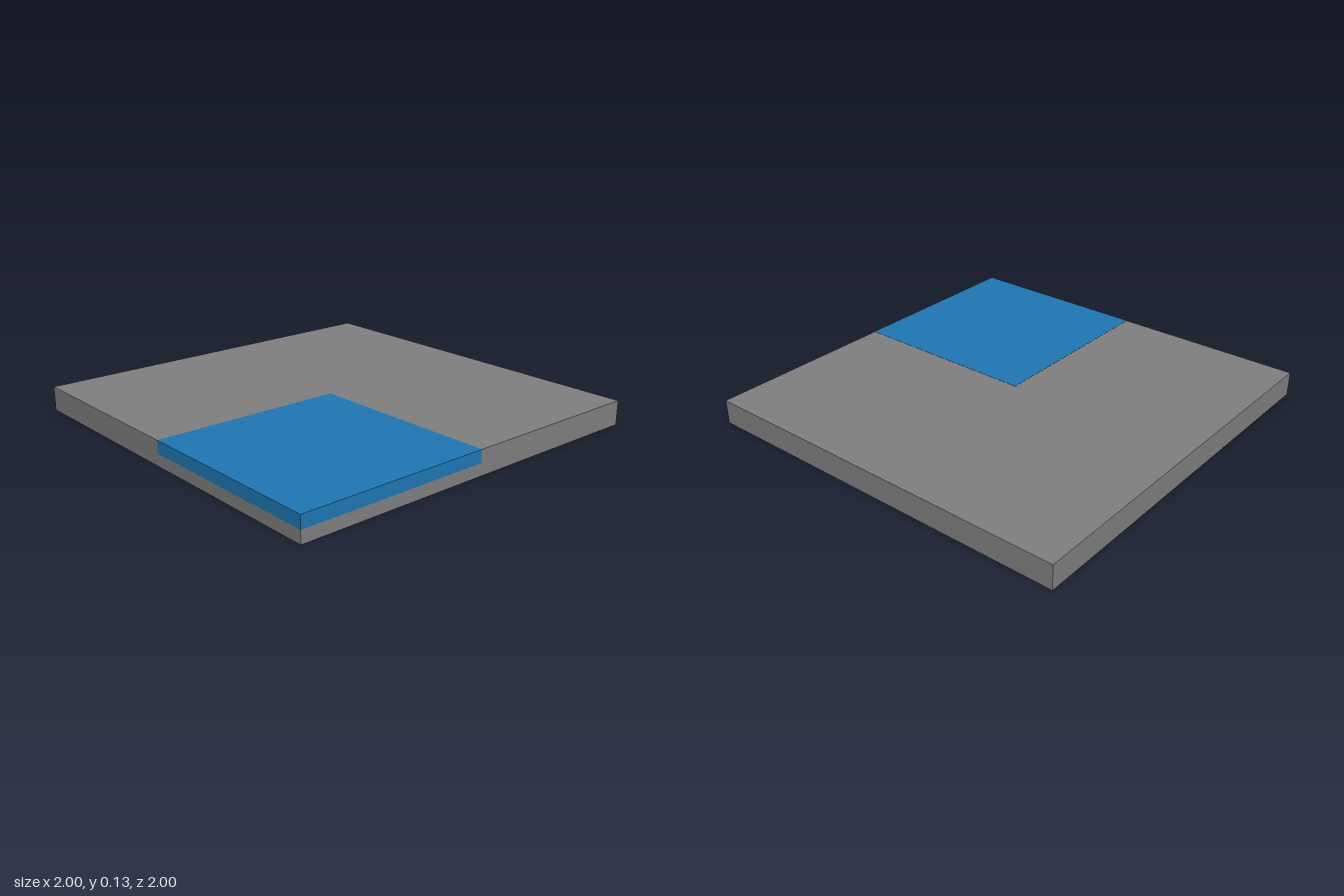
import * as THREE from 'three';

export function createModel() {
  const model = new THREE.Group();
  const grey = new THREE.MeshStandardMaterial({ name: 'grey', color: 0x7f7f7f });
  const blue = new THREE.MeshStandardMaterial({ name: 'blue', color: 0x1f77b4 });

  // Box given by its lowest and highest corners
  const addBox = (name, material, min, max) => {
    const size = max.map((v, i) => v - min[i]);
    const mesh = new THREE.Mesh(new THREE.BoxGeometry(...size), material);
    mesh.position.set(...max.map((v, i) => (v + min[i]) / 2));
    mesh.name = name;
    model.add(mesh);
  };

  const height = 0.125;
  const lift = 0.001; // keeps the inlay faces just clear of the slab

  // Square base slab
  addBox('slab', grey, [-1, 0, -1], [1, height, 1]);

  // Half-height inlay filling one front quarter of the slab
  addBox('cornerInlay', blue, [-1 - lift, height / 2, 0], [0, height + lift, 1 + lift]);

  return model;
}
